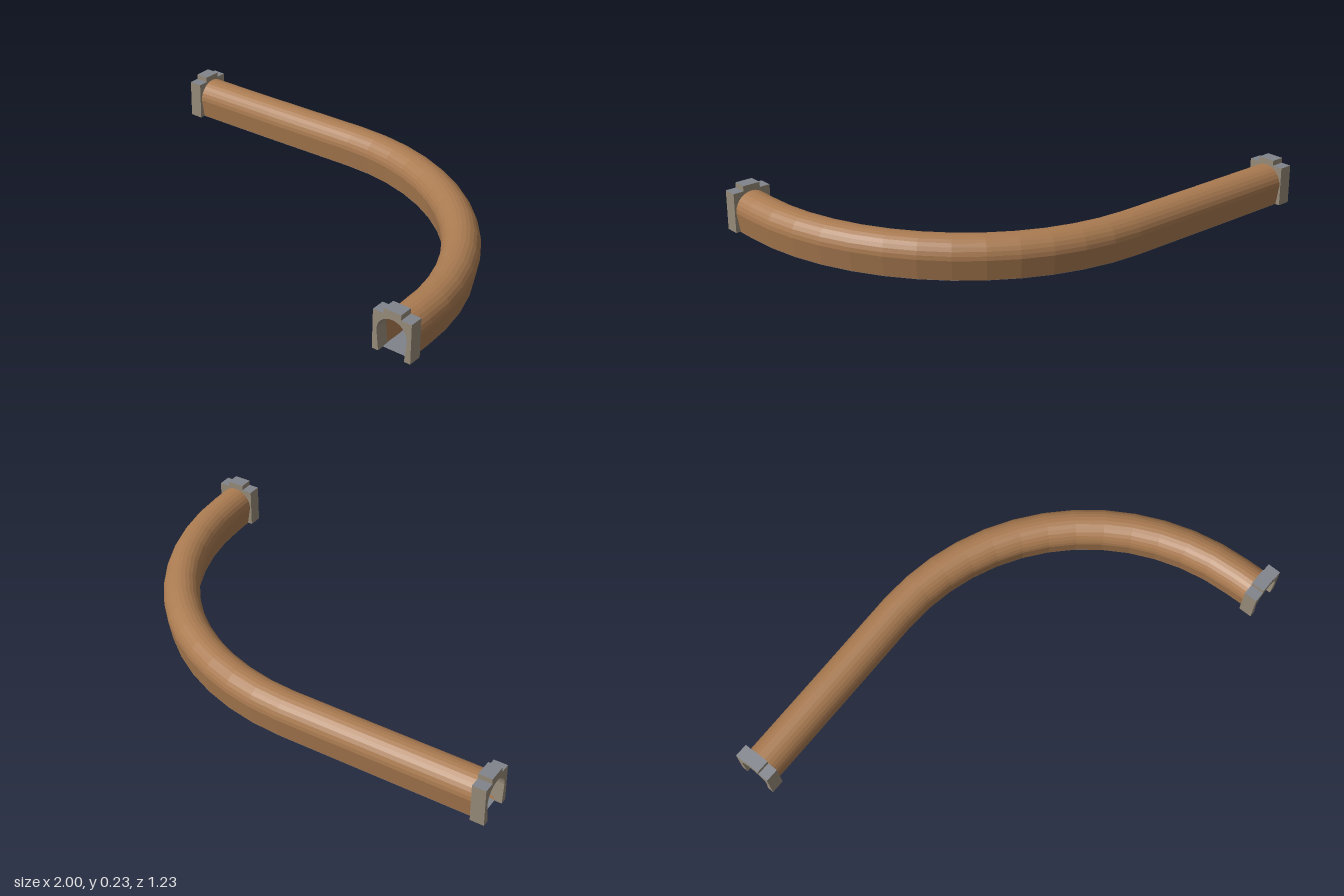
import * as THREE from 'three';

const mat = (name, color, side = THREE.FrontSide) => {
  const m = new THREE.MeshStandardMaterial({ color, side, flatShading: true });
  m.name = name;
  return m;
};

// Horseshoe arch, from right foot over the crown to left foot: [sideways, up]
function arch(radius, foot, centre, steps = 14) {
  const pts = [[foot, 0]];
  for (let i = 0; i <= steps; i++) {
    const a = (i / steps) * Math.PI;
    pts.push([Math.cos(a) * radius, centre + Math.sin(a) * radius]);
  }
  pts.push([-foot, 0]);
  return pts;
}

// Centre line: long straight, quarter bend, short straight, rising gently
function makePath() {
  const R = 1.015, cx = -0.1, cz = 0.475, steps = 13;
  const flat = [[-0.97, -0.533], [-0.55, -0.536]];
  for (let i = 0; i <= steps; i++) {
    const a = (i / steps) * Math.PI / 2;
    flat.push([cx + R * Math.sin(a), cz - R * Math.cos(a)]);
  }
  flat.push([0.916, 0.58]);
  const lengths = [0];
  for (let i = 1; i < flat.length; i++) {
    lengths.push(lengths[i - 1] + Math.hypot(flat[i][0] - flat[i - 1][0], flat[i][1] - flat[i - 1][1]));
  }
  const total = lengths[lengths.length - 1];
  return flat.map(([x, z], i) =>
    new THREE.Vector3(x, 0.001 + 0.045 * Math.pow(lengths[i] / total, 1.2), z));
}

// Sweep a closed section along the path, keeping it upright
function sweep(path, section) {
  const pos = [], index = [], n = section.length;
  path.forEach((p, i) => {
    const a = path[Math.max(i - 1, 0)], b = path[Math.min(i + 1, path.length - 1)];
    const t = new THREE.Vector3(b.x - a.x, 0, b.z - a.z).normalize();
    for (const [u, v] of section) pos.push(p.x - t.z * u, p.y + v, p.z + t.x * u);
    if (i === path.length - 1) return;
    for (let j = 0; j < n; j++) {
      const k = (j + 1) % n;
      const q = [i * n + j, (i + 1) * n + j, (i + 1) * n + k, i * n + k];
      index.push(q[0], q[1], q[2], q[0], q[2], q[3]);
    }
  });
  let g = new THREE.BufferGeometry();
  g.setAttribute('position', new THREE.Float32BufferAttribute(pos, 3));
  g.setIndex(index);
  g = g.toNonIndexed();
  g.computeVertexNormals();
  return g;
}

// Material group 0 for upright faces, 1 for level tops and undersides
function groupLevelFaces(geometry) {
  const g = geometry.index ? geometry.toNonIndexed() : geometry;
  g.clearGroups();
  const normal = g.attributes.normal;
  for (let i = 0; i < normal.count; i += 3) {
    g.addGroup(i, 3, Math.abs(normal.getY(i)) > 0.999 ? 1 : 0);
  }
  return g;
}

// End frame with an arched opening and a raised block above it
function makePortal(name, materials) {
  const w = 0.0835, h = 0.166, depth = 0.058, blockHeight = 0.022;
  const group = new THREE.Group();
  group.name = name;
  const outline = [[w, 0], [w, h], [-w, h], [-w, 0], ...arch(0.066, 0.056, 0.087).reverse()];
  const shape = new THREE.Shape(outline.map(([x, y]) => new THREE.Vector2(x, y)));
  const frameGeometry = new THREE.ExtrudeGeometry(shape, { depth, bevelEnabled: false });
  const frame = new THREE.Mesh(groupLevelFaces(frameGeometry), materials);
  frame.name = name + 'Frame';
  frame.position.z = -depth / 2;
  const blockGeometry = new THREE.BoxGeometry(0.076, blockHeight, depth);
  const block = new THREE.Mesh(groupLevelFaces(blockGeometry), materials);
  block.name = name + 'TopBlock';
  block.position.y = h + blockHeight / 2;
  group.add(frame, block);
  return group;
}

export function createModel() {
  const model = new THREE.Group();
  model.name = 'curvedTunnel';
  const brown = mat('brown wall', 0xaa7b51, THREE.DoubleSide);
  const stone = mat('warm stone', 0x968b7a);
  const slate = mat('blue grey slate', 0x80848b, THREE.DoubleSide);
  const path = makePath();

  // Arched wall with an outer and an inner skin
  const section = [...arch(0.077, 0.062, 0.085), ...arch(0.069, 0.058, 0.085).reverse()];
  const wall = new THREE.Mesh(sweep(path, section), brown);
  wall.name = 'tunnelWall';

  // Thin floor along the whole passage
  const floorSection = [[0.062, -0.001], [0.062, 0.003], [-0.062, 0.003], [-0.062, -0.001]];
  const floor = new THREE.Mesh(sweep(path, floorSection), slate);
  floor.name = 'tunnelFloor';

  // Portals at the low and the high end
  const lowPortal = makePortal('lowPortal', [stone, slate]);
  lowPortal.rotation.y = -Math.PI / 2;
  lowPortal.position.set(-0.971, 0, -0.531);
  const highPortal = makePortal('highPortal', [stone, slate]);
  highPortal.position.set(0.9155, 0.046, 0.583);

  model.add(wall, floor, lowPortal, highPortal);
  return model;
}
